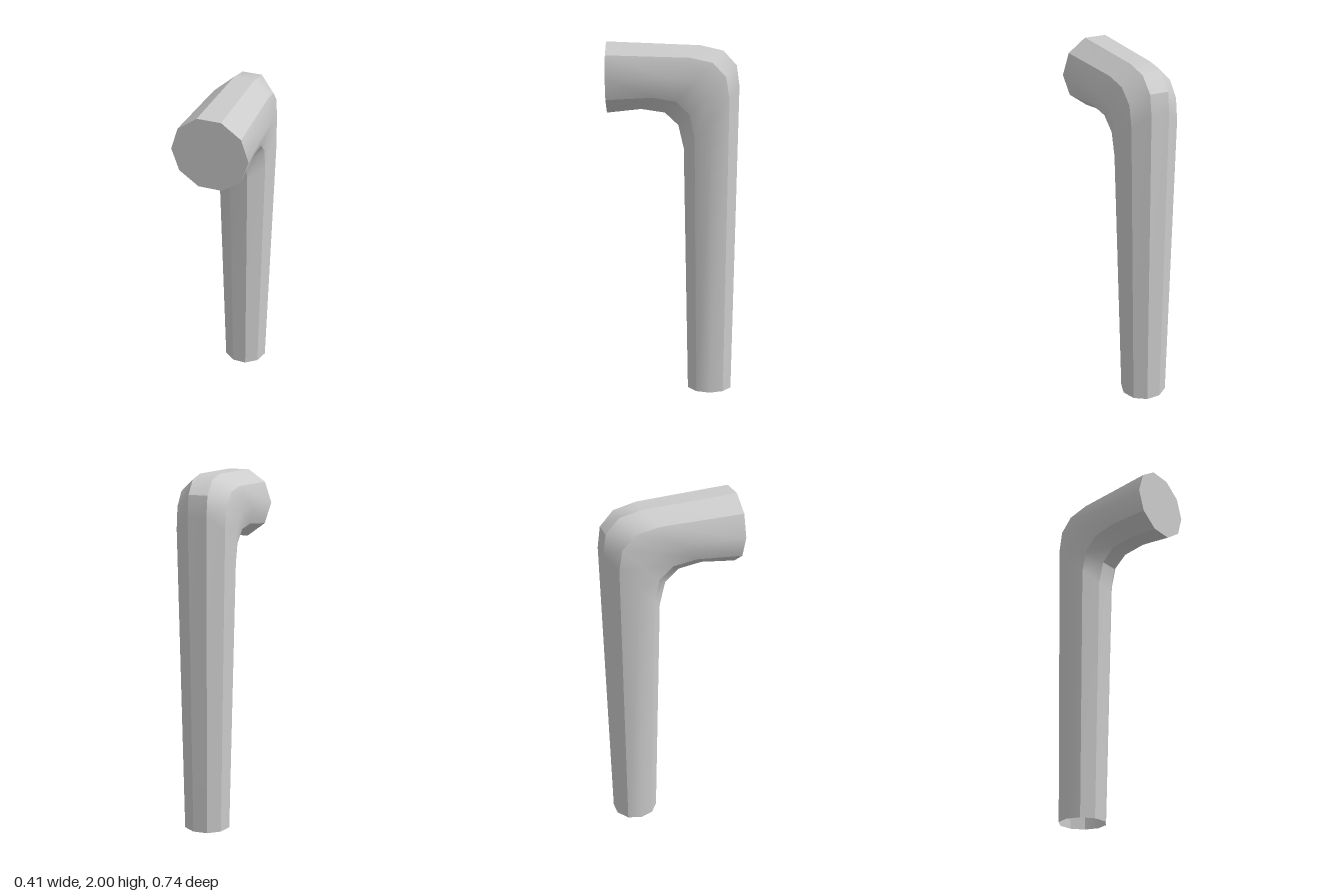
import * as THREE from 'three';

// Ten-sided sections along the bend: outer z, y, inner z, y, half width in x
const SECTIONS = [
  [0.37, 2.0, 0.37, 1.61, 0.205],
  [-0.15, 1.979, 0.18, 1.63, 0.183],
  [-0.276, 1.95, 0.048, 1.61, 0.176],
  [-0.35, 1.87, -0.027, 1.54, 0.17],
  [-0.366, 1.755, -0.058, 1.41, 0.168],
  [-0.335, 0, -0.085, 0, 0.132],
];
const SIDES = 10;

// Corner k of a section; the flats lie on the outer and inner side
function corner([zo, yo, zi, yi, w], k) {
  const a = (k / SIDES) * Math.PI * 2;
  const s = Math.sin(a) / Math.sin(Math.PI * 0.4) / 2;
  return [
    Math.cos(a) * w,
    (yo + yi) / 2 + s * (yo - yi),
    (zo + zi) / 2 + s * (zo - zi),
  ];
}

// Smooth strip over the given corners and sections, with hard edges around it
function strip(corners, sections) {
  const n = corners.length;
  const pos = sections.flatMap((sec) => corners.flatMap((k) => corner(sec, k)));
  const idx = [];
  for (let r = 0; r < sections.length - 1; r++) {
    for (let c = 0; c < n - 1; c++) {
      const a = r * n + c;
      idx.push(a, a + n, a + 1, a + 1, a + n, a + n + 1);
    }
  }
  const g = new THREE.BufferGeometry();
  g.setAttribute('position', new THREE.Float32BufferAttribute(pos, 3));
  g.setIndex(idx);
  g.computeVertexNormals();
  return g;
}

export function createModel() {
  const group = new THREE.Group();
  group.name = 'bentHandle';
  const material = new THREE.MeshStandardMaterial({ color: 0xcccccc, side: THREE.DoubleSide });
  const add = (geometry, name) => {
    const mesh = new THREE.Mesh(geometry, material);
    mesh.name = name;
    group.add(mesh);
    return mesh;
  };

  // Rounded flanks, each smooth over two facets
  add(strip([-1, 0, 1], SECTIONS), 'leftFlank');
  add(strip([4, 5, 6], SECTIONS), 'rightFlank');

  // Bevel facets between flanks and flats
  for (const k of [1, 3, 6, 8]) add(strip([k, k + 1], SECTIONS), 'bevel');

  // Outer and inner flats, creased in the middle of the bend
  for (const [k, name] of [[2, 'outerFlat'], [7, 'innerFlat']]) {
    add(strip([k, k + 1], SECTIONS.slice(0, 4)), name + 'Upper');
    add(strip([k, k + 1], SECTIONS.slice(3)), name + 'Lower');
  }

  // Closed front end; the lower end stays open
  const cap = add(new THREE.CircleGeometry(0.205, SIDES), 'endCap');
  cap.position.set(0, 1.805, 0.37);
  return group;
}
